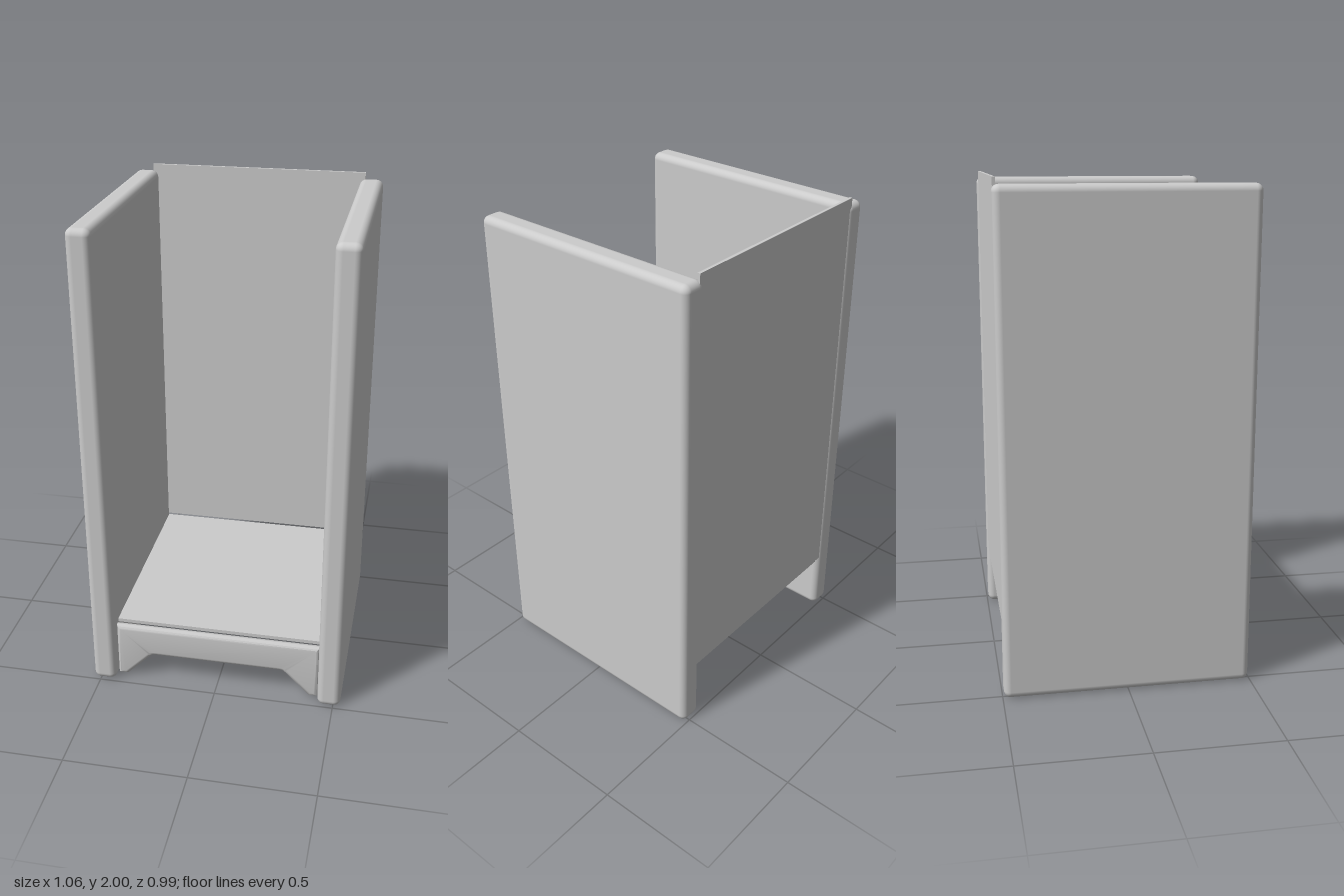
import * as THREE from 'three';
import { RoundedBoxGeometry } from 'three/addons/geometries/RoundedBoxGeometry.js';
import { toCreasedNormals } from 'three/addons/utils/BufferGeometryUtils.js';

const material = new THREE.MeshStandardMaterial({ color: 0xcccccc });

function addPart(group, name, geometry, x, y, z) {
  const mesh = new THREE.Mesh(geometry, material);
  mesh.name = name;
  mesh.position.set(x, y, z);
  group.add(mesh);
}

// Front board outline: straight top, arched cut-out between two tapered feet
function plinthGeometry() {
  const bevel = 0.018;
  const half = 0.433 - bevel;
  const low = 0.005 + bevel;
  const high = 0.253 - bevel;
  const arch = 0.118 + bevel;
  const s = new THREE.Shape();
  s.moveTo(-half, low);
  s.lineTo(-0.4, low);
  s.lineTo(-0.3, arch - 0.012);
  s.quadraticCurveTo(-0.288, arch, -0.265, arch);
  s.lineTo(0.265, arch);
  s.quadraticCurveTo(0.288, arch, 0.3, arch - 0.012);
  s.lineTo(0.4, low);
  s.lineTo(half, low);
  s.lineTo(half, high);
  s.lineTo(-half, high);
  s.closePath();
  const g = new THREE.ExtrudeGeometry(s, {
    depth: 0.04 - 2 * bevel, bevelEnabled: true, bevelSize: bevel,
    bevelThickness: bevel, bevelSegments: 4, curveSegments: 5,
  });
  g.translate(0, 0, bevel);
  return toCreasedNormals(g, 0.7);
}

export function createModel() {
  const group = new THREE.Group();
  group.name = 'openCabinet';

  // Thick rounded side panels
  for (const [name, side] of [['leftSidePanel', 1], ['rightSidePanel', -1]]) {
    addPart(group, name, new RoundedBoxGeometry(0.097, 1.975, 0.99, 4, 0.028), side * 0.4815, 0.9875, 0);
  }

  // Thin back sheet, let into the side panels
  addPart(group, 'backPanel', new THREE.BoxGeometry(0.91, 1.725, 0.012), 0, 1.1375, -0.484);

  // Cabinet floor
  addPart(group, 'floorPanel', new THREE.BoxGeometry(0.87, 0.015, 0.893), 0, 0.2595, -0.0315);

  // Front board with feet
  addPart(group, 'frontPlinth', plinthGeometry(), 0, 0, 0.411);

  return group;
}
